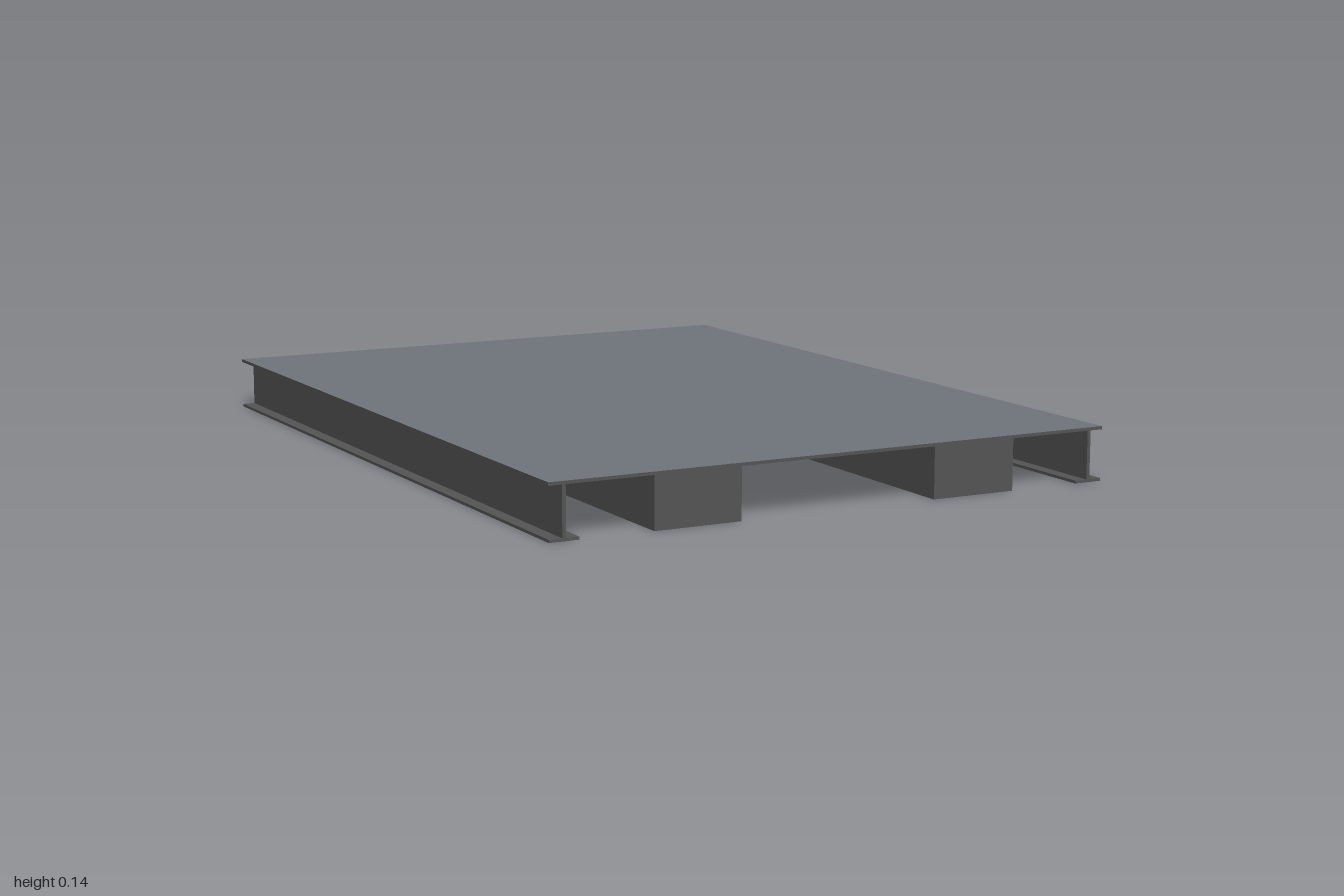
import * as THREE from 'three';

const LENGTH = 2;

export function createModel() {
  const group = new THREE.Group();
  const darkSteel = new THREE.MeshStandardMaterial({ name: 'darkSteel', color: 0x555555 });
  const deckGrey = new THREE.MeshStandardMaterial({ name: 'deckGrey', color: 0x70757d });

  // Full-length bar given its cross-section limits
  const bar = (name, x0, x1, y0, y1, material) => {
    const mesh = new THREE.Mesh(new THREE.BoxGeometry(x1 - x0, y1 - y0, LENGTH), material);
    mesh.position.set((x0 + x1) / 2, (y0 + y1) / 2, 0);
    mesh.name = name;
    group.add(mesh);
  };

  // Deck: dark plate with a grey top face (box face order: +x -x +y -y +z -z)
  const d = darkSteel;
  bar('deck', -0.75, 0.75, 0.128, 0.136, [d, d, deckGrey, d, d, d]);

  for (const [side, s] of [['left', 1], ['right', -1]]) {
    const mirrored = (name, inner, outer, y0, y1) =>
      bar(side + name, Math.min(s * inner, s * outer), Math.max(s * inner, s * outer), y0, y1, darkSteel);
    // Solid runner under the deck
    mirrored('Runner', 0.262, 0.487, 0, 0.128);
    // Edge beam: upright web on a bottom flange
    mirrored('BeamWeb', 0.707, 0.716, 0.007, 0.128);
    mirrored('BeamFlange', 0.674, 0.749, 0, 0.007);
  }
  return group;
}
